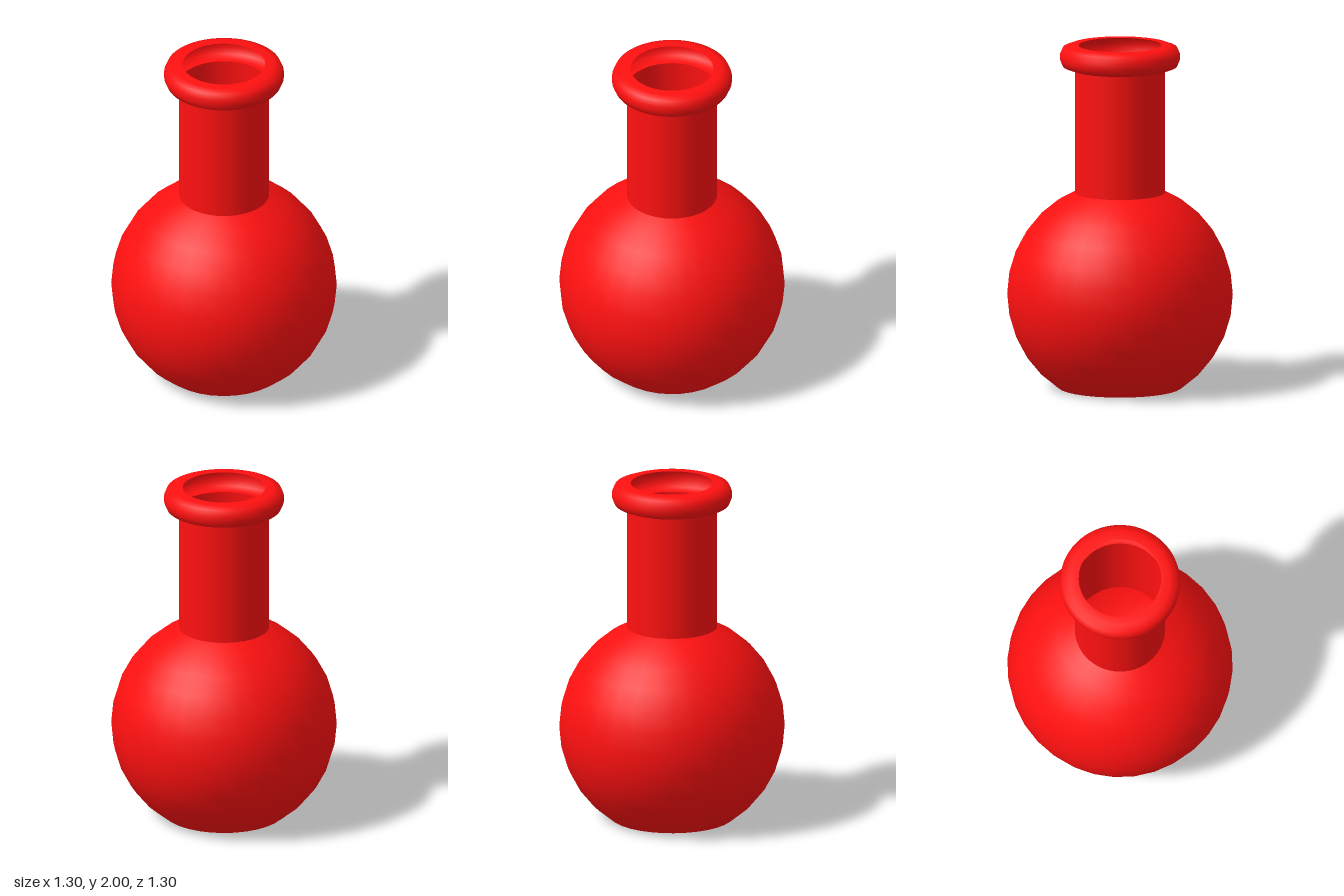
import * as THREE from 'three';

export function createModel() {
  const flask = new THREE.Group();
  flask.name = 'roundFlask';
  const glass = new THREE.MeshStandardMaterial({ color: 0xff1010, side: THREE.DoubleSide });

  // Thin shell turned around the vertical axis; profile runs bottom to top as [radius, height]
  function turned(name, profile, sides) {
    const points = profile.map(([r, y]) => new THREE.Vector2(r, y));
    const mesh = new THREE.Mesh(new THREE.LatheGeometry(points, sides), glass);
    mesh.name = name;
    flask.add(mesh);
  }

  // Round bulb, cut flat below and open to the neck above
  const radius = 0.65, centre = 0.545, step = Math.PI / 16;
  const bulb = [[0.355, 0]];
  for (let i = -5; i <= 5; i++) {
    bulb.push([radius * Math.cos(i * step), centre + radius * Math.sin(i * step)]);
  }
  bulb.push([0.26, 1.14]);
  turned('bulb', bulb, 32);

  // Flat foot
  turned('base', [[0, 0], [0.355, 0]], 32);

  // Straight hollow neck
  turned('neck', [[0.26, 1.135], [0.26, 1.87]], 64);

  // Rolled lip, hollow and open on its inner side
  turned('lip', [
    [0.26, 1.865], [0.29, 1.865], [0.33, 1.88], [0.345, 1.915],
    [0.345, 1.95], [0.33, 1.985], [0.29, 2], [0.238, 2],
  ], 64);

  return flask;
}
